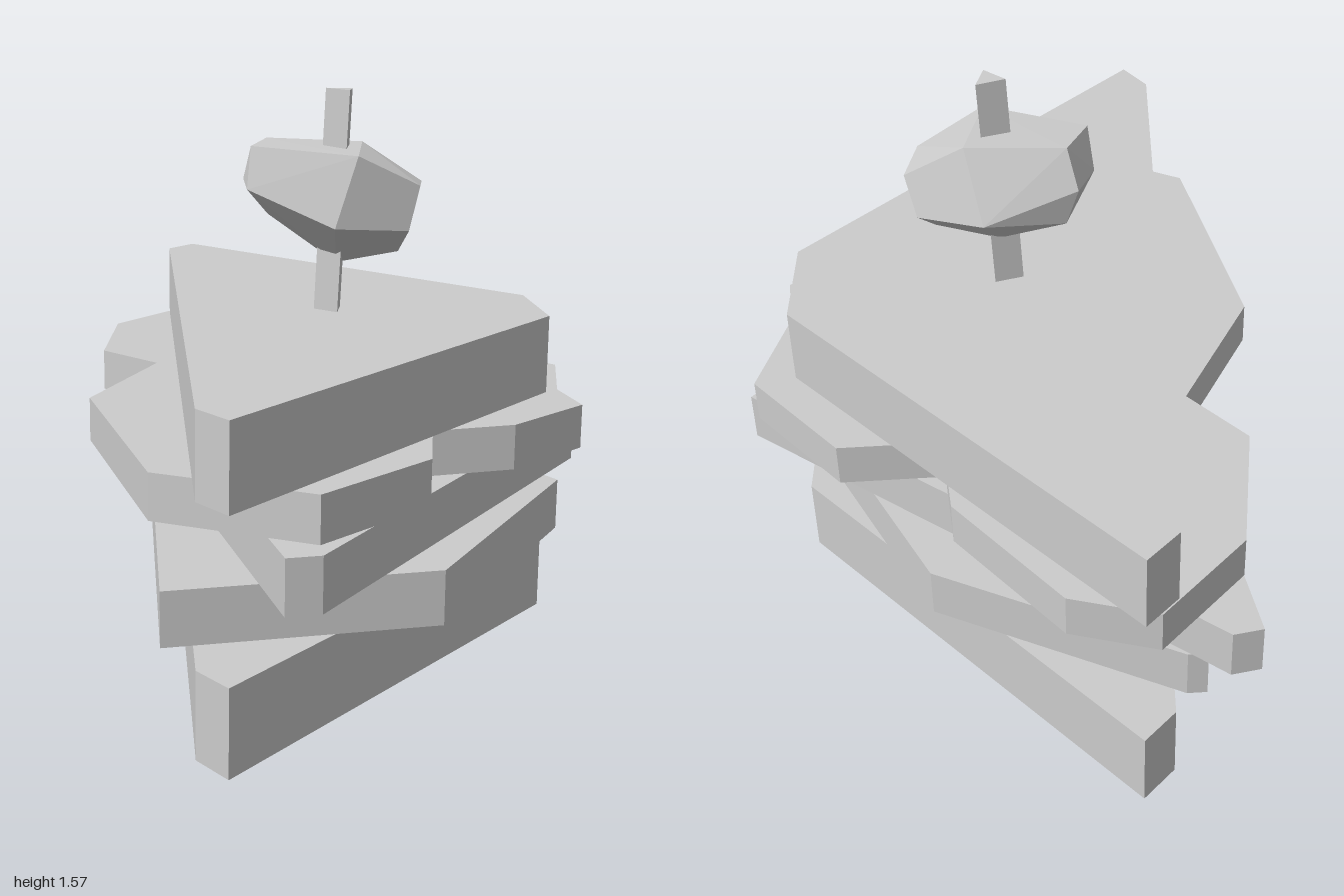
import * as THREE from 'three';
import { ConvexGeometry } from 'three/addons/geometries/ConvexGeometry.js';

const material = new THREE.MeshStandardMaterial({ color: 0xcccccc, flatShading: true });

function part(group, name, geometry) {
  const mesh = new THREE.Mesh(geometry, material);
  mesh.name = name;
  group.add(mesh);
  return mesh;
}

// Horizontal slab with an outline of [x, z] points, from height y0 to y1
function slab(group, name, outline, y0, y1) {
  const shape = new THREE.Shape(outline.map(([x, z]) => new THREE.Vector2(x, -z)));
  const geometry = new THREE.ExtrudeGeometry(shape, { depth: y1 - y0, bevelEnabled: false });
  geometry.rotateX(-Math.PI / 2).translate(0, y0, 0);
  return part(group, name, geometry);
}

export function createModel() {
  const sandwich = new THREE.Group();
  sandwich.name = 'sandwich';

  // Two identical triangular bread slices
  const bread = [[-0.94, 0.81], [0.57, 0.81], [0.8, 0.59], [0.88, -0.84], [0.75, -0.84], [-0.91, 0.68]];
  slab(sandwich, 'bottomBread', bread, 0, 0.24);
  slab(sandwich, 'topBread', bread, 0.675, 0.908);

  // Fillings, each turned a little differently
  slab(sandwich, 'meatSlice', [
    [-0.86, 0.52], [-0.27, 0.995], [0.62, 0.835], [0.92, -0.08], [0.68, -0.82], [0.64, -0.86],
  ], 0.24, 0.393);
  slab(sandwich, 'cheeseSlice', [
    [-0.8, 0.87], [-0.725, 0.93], [0.855, 0.755], [0.67, -0.85], [0.66, -0.95], [0.59, -1],
  ], 0.393, 0.545);
  slab(sandwich, 'lettuceLeaf', [
    [-0.8, 0.43], [-0.67, 0.88], [-0.24, 0.925], [-0.01, 0.78], [0.19, 0.925], [0.505, 0.965],
    [0.62, 0.82], [0.9, 0.66], [0.935, 0.26], [0.72, 0.05], [0.89, -0.155], [0.94, -0.62],
    [0.82, -0.845], [0.47, -0.84], [0.13, -0.59], [0.11, -0.34], [-0.35, -0.2],
  ], 0.545, 0.675);

  // Slightly leaning three-sided pick
  const low = new THREE.Vector3(0.235, 0.7, 0.24);
  const high = new THREE.Vector3(0.255, 1.57, 0.27);
  const axis = high.clone().sub(low);
  const pick = part(sandwich, 'pick', new THREE.CylinderGeometry(0.05, 0.05, axis.length(), 3).rotateY(Math.PI / 2));
  pick.position.copy(low).add(high).multiplyScalar(0.5);
  pick.quaternion.setFromUnitVectors(new THREE.Vector3(0, 1, 0), axis.normalize());

  // Faceted olive lying across the pick
  const olive = [
    [0.03, 1.28, 0.09], [0.06, 1.405, 0.08], [0.2, 1.415, 0.03], [0.1, 1.3, 0.02], [0.21, 1.3, -0.02],
    [0.22, 1.18, 0.02], [0.41, 1.2, 0.16], [0.375, 1.405, 0.26], [0.155, 1.39, 0.4], [0.1, 1.18, 0.36],
    [0.26, 1.05, 0.25], [0.37, 1.085, 0.4], [0.29, 1.165, 0.49], [0.33, 1.295, 0.5],
    [0.46, 1.29, 0.42], [0.475, 1.18, 0.36],
  ];
  part(sandwich, 'olive', new ConvexGeometry(olive.map((p) => new THREE.Vector3(...p))));

  return sandwich;
}
